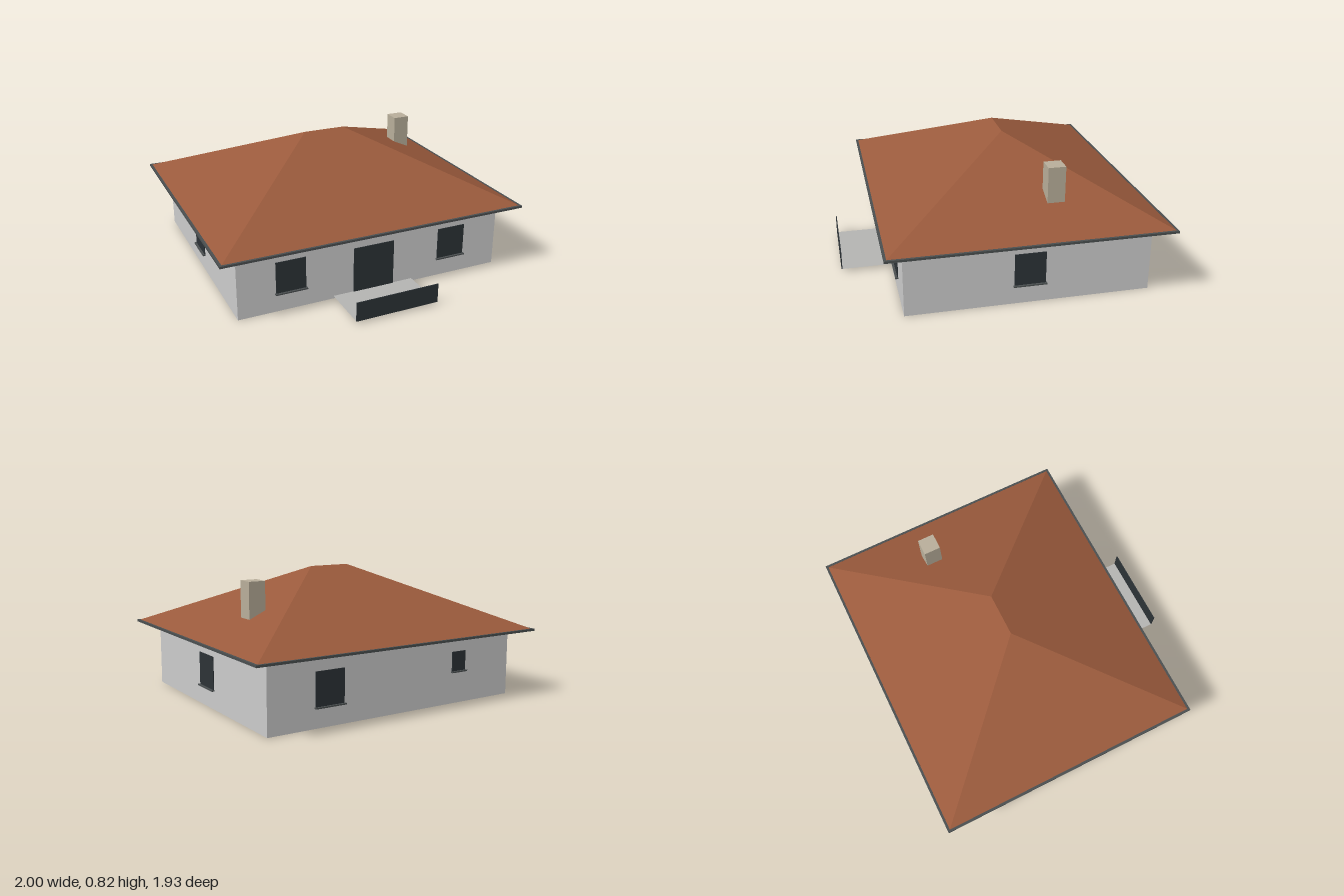
import * as THREE from 'three';

const mat = (color, extra = {}) => new THREE.MeshStandardMaterial({ color, flatShading: true, ...extra });
const wallMat = mat(0xcccccc);
const roofMat = mat(0x9a5a3c);
const soffitMat = mat(0x5f4635);
const darkMat = mat(0x2c3236);
const trimMat = mat(0x4a4f50);
const chimneyMat = mat(0xb8ae9a);
const slabMat = mat(0xb4b4b2, { side: THREE.DoubleSide });

// Footprints: x half-width, back z, front z
const WALL = { x: 0.88, back: -0.85, front: 0.645 };
const EAVE = { x: 1, back: -0.965, front: 0.755 };
const EAVE_Y = 0.42;

function add(parent, name, geometry, material, x = 0, y = 0, z = 0) {
  const mesh = new THREE.Mesh(geometry, material);
  mesh.name = name;
  mesh.position.set(x, y, z);
  parent.add(mesh);
  return mesh;
}

// Rectangular ring of a footprint, standing from y0 to y1
function ringGeometry({ x, back, front }, thickness, y0, y1) {
  const rect = (Type, t) => new Type([
    new THREE.Vector2(-x + t, -front + t), new THREE.Vector2(x - t, -front + t),
    new THREE.Vector2(x - t, -back - t), new THREE.Vector2(-x + t, -back - t),
  ]);
  const shape = rect(THREE.Shape, 0);
  shape.holes.push(rect(THREE.Path, thickness));
  return new THREE.ExtrudeGeometry(shape, { depth: y1 - y0, bevelEnabled: false })
    .rotateX(-Math.PI / 2).translate(0, y0, 0);
}

// Four slopes rising from the eaves to a short ridge
function hipRoofGeometry() {
  const e = 0.99, y = 0.428, back = -0.955, front = 0.745;
  const ridgeY = 0.82, ridgeX = 0.137, ridgeZ = -0.105;
  const a = [-e, y, front], b = [e, y, front], c = [e, y, back], d = [-e, y, back];
  const l = [-ridgeX, ridgeY, ridgeZ], r = [ridgeX, ridgeY, ridgeZ];
  const triangles = [a, b, r, a, r, l, b, c, r, c, d, l, c, l, r, d, a, l];
  const geometry = new THREE.BufferGeometry();
  geometry.setAttribute('position', new THREE.Float32BufferAttribute(triangles.flat(), 3));
  geometry.computeVertexNormals();
  return geometry;
}

// Pane with a projecting sill, facing +z before it is turned
function addWindow(parent, name, x, z, turn, width, y0, y1) {
  const win = new THREE.Group();
  win.name = name;
  win.position.set(x, 0, z);
  win.rotation.y = turn;
  add(win, 'pane', new THREE.BoxGeometry(width, y1 - y0, 0.01), darkMat, 0, (y0 + y1) / 2, 0);
  add(win, 'sill', new THREE.BoxGeometry(width + 0.014, 0.008, 0.03), trimMat, 0, y0 - 0.004, 0.003);
  parent.add(win);
}

export function createModel() {
  const house = new THREE.Group();
  house.name = 'house';

  // Hollow walls, open underneath
  add(house, 'walls', ringGeometry(WALL, 0.02, 0, EAVE_Y), wallMat);

  // Roof, flat underside and gutter
  add(house, 'roof', hipRoofGeometry(), roofMat);
  const depth = EAVE.front - EAVE.back;
  add(house, 'soffit', new THREE.PlaneGeometry(EAVE.x * 2 - 0.02, depth - 0.02).rotateX(Math.PI / 2),
    soffitMat, 0, EAVE_Y, (EAVE.front + EAVE.back) / 2);
  add(house, 'gutter', ringGeometry(EAVE, 0.015, 0.417, 0.431), trimMat);

  // Chimney
  add(house, 'chimney', new THREE.BoxGeometry(0.107, 0.227, 0.107), chimneyMat, 0.663, 0.663, -0.298);

  // Windows: a pair in front, one on each side, one large and one small at the back
  for (const s of [-1, 1]) {
    addWindow(house, 'frontWindow', s * 0.545, WALL.front, 0, 0.19, 0.123, 0.325);
    addWindow(house, 'sideWindow', s * WALL.x, -0.103, s * Math.PI / 2, 0.19, 0.123, 0.325);
  }
  addWindow(house, 'backWindow', 0.48, WALL.back, Math.PI, 0.19, 0.123, 0.325);
  addWindow(house, 'smallBackWindow', -0.465, WALL.back, Math.PI, 0.105, 0.203, 0.325);

  // Door
  add(house, 'door', new THREE.BoxGeometry(0.272, 0.312, 0.01), darkMat, 0, 0.156, WALL.front);

  // Porch: thin slab with a front panel
  add(house, 'porchSlab', new THREE.PlaneGeometry(0.54, 0.317).rotateX(-Math.PI / 2), slabMat, 0, 0.017, 0.8035);
  add(house, 'porchPanel', new THREE.BoxGeometry(0.54, 0.123, 0.006), darkMat, 0, 0.0785, 0.962);

  return house;
}
